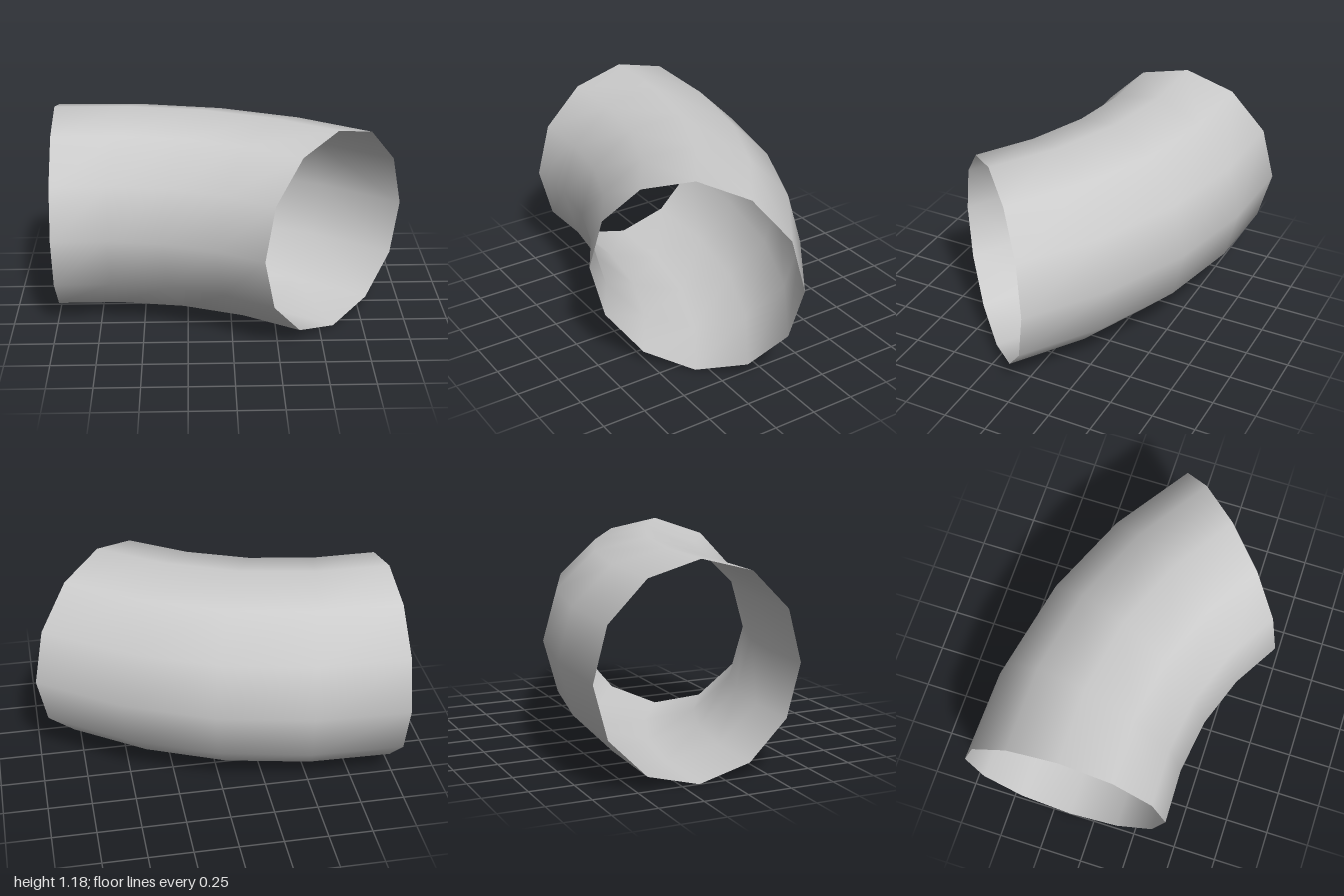
import * as THREE from 'three';

const SIDES = 12;
const RADIUS = 0.59;
// Ring centres [x, z] along the bend; each ring turns a further 11.25 degrees
const CENTRES = [[-1, -0.152], [-0.58, -0.148], [-0.16, -0.07], [0.23, 0.088], [0.5825, 0.317]];

// Open pipe skin: twelve-sided rings joined by smooth-shaded quads
function bentPipe() {
  const positions = [];
  const indices = [];
  CENTRES.forEach(([x, z], i) => {
    const turn = (i / (CENTRES.length - 1)) * Math.PI / 4;
    for (let j = 0; j < SIDES; j++) {
      const a = (j / SIDES) * Math.PI * 2;
      const out = RADIUS * Math.cos(a);
      positions.push(x + out * Math.sin(turn), RADIUS + RADIUS * Math.sin(a), z - out * Math.cos(turn));
      if (i === CENTRES.length - 1) continue;
      const p = i * SIDES + j;
      const q = i * SIDES + (j + 1) % SIDES;
      indices.push(p, q, p + SIDES, q, q + SIDES, p + SIDES);
    }
  });
  const geometry = new THREE.BufferGeometry();
  geometry.setAttribute('position', new THREE.Float32BufferAttribute(positions, 3));
  geometry.setIndex(indices);
  geometry.computeVertexNormals();
  return geometry;
}

export function createModel() {
  const group = new THREE.Group();
  group.name = 'pipeElbow';
  const material = new THREE.MeshStandardMaterial({ color: 0xcccccc, side: THREE.DoubleSide });
  const pipe = new THREE.Mesh(bentPipe(), material);
  pipe.name = 'bentPipe';
  group.add(pipe);
  return group;
}
